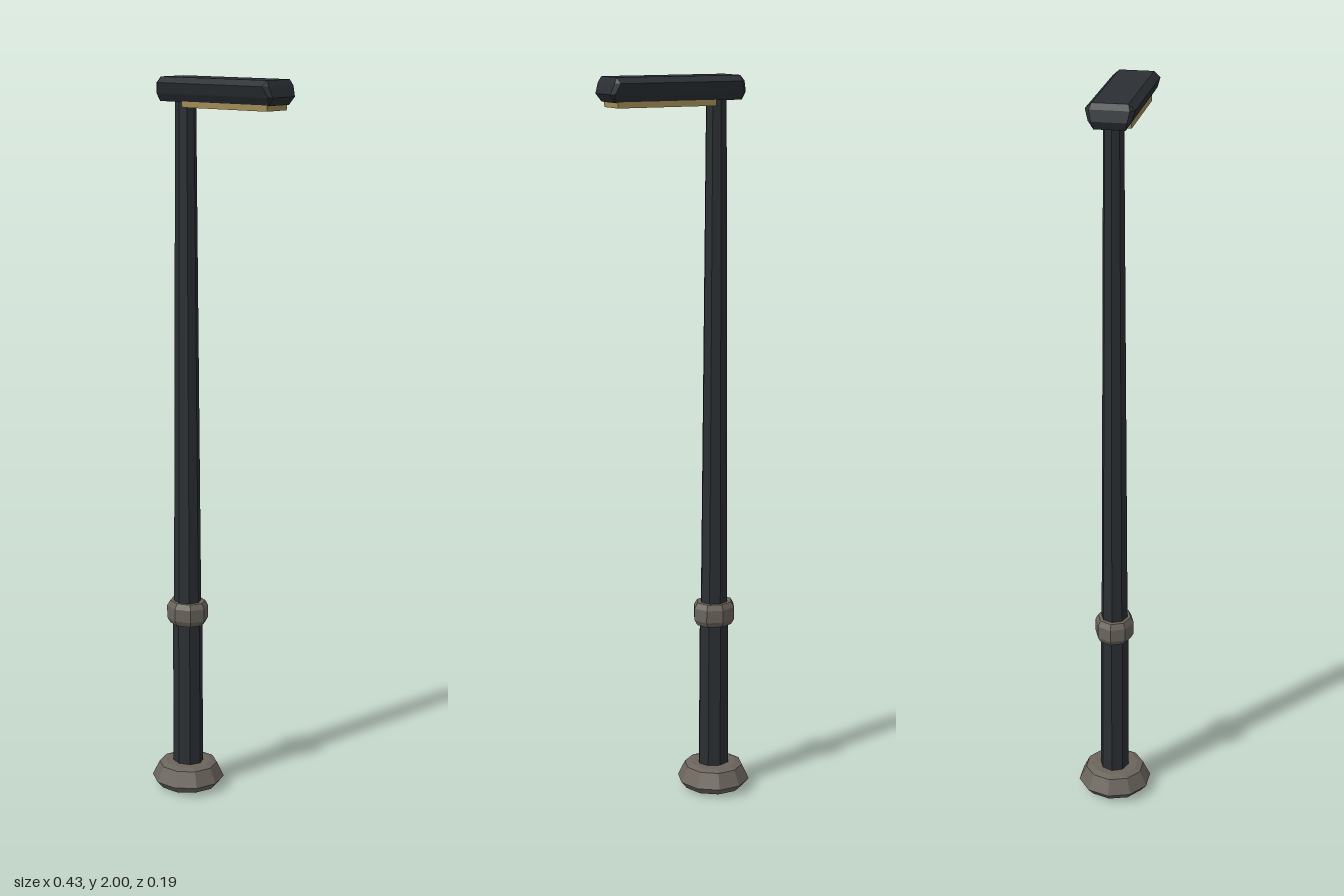
import * as THREE from 'three';
import { ConvexGeometry } from 'three/addons/geometries/ConvexGeometry.js';

const POLE_X = -0.114;

const flat = (color, side = THREE.FrontSide) =>
  new THREE.MeshStandardMaterial({ color, flatShading: true, side });

function add(group, name, geometry, material) {
  const mesh = new THREE.Mesh(geometry, material);
  mesh.name = name;
  group.add(mesh);
  return mesh;
}

// Faceted turned part on the pole axis, with a corner on the x axis
function turned(group, name, profile, sides, material, depth = 1) {
  const points = profile.map(([r, y]) => new THREE.Vector2(r, y));
  const geometry = new THREE.LatheGeometry(points, sides, Math.PI / 2);
  geometry.scale(1, 1, depth);
  const mesh = add(group, name, geometry, material);
  mesh.position.x = POLE_X;
  return mesh;
}

export function createModel() {
  const group = new THREE.Group();
  group.name = 'streetLamp';
  const metal = flat(0x2b2f33);
  const stone = flat(0x6a645c);
  const glow = flat(0xa08a55);

  // Foot with a shallow pointed underside
  turned(group, 'base', [
    [0, 0], [0.085, 0.008], [0.102, 0.028], [0.082, 0.07], [0.065, 0.076], [0, 0.076],
  ], 10, stone);

  // Thicker lower shaft and tapering upper shaft
  turned(group, 'lowerPole', [[0, 0.05], [0.045, 0.05], [0.043, 0.51], [0, 0.51]], 8, metal, 0.9);
  turned(group, 'upperPole', [[0, 0.5], [0.04, 0.5], [0.029, 1.95], [0, 1.95]], 8, metal, 0.92);

  // Bevelled collar at the joint
  turned(group, 'collar', [
    [0, 0.49], [0.052, 0.49], [0.061, 0.505], [0.061, 0.54], [0.052, 0.555], [0, 0.555],
  ], 8, stone, 0.88);

  // Lamp head: stacked rectangles [y, xMin, xMax, zHalf, corner cut]
  const corners = [];
  for (const [y, x0, x1, z, cut] of [
    [2.0, -0.16, 0.197, 0.046, 0],
    [1.985, -0.17, 0.205, 0.063, 0.012],
    [1.957, -0.177, 0.215, 0.054, 0.009],
    [1.936, -0.168, 0.2, 0.04, 0],
  ]) {
    for (const s of [-1, 1]) {
      corners.push(
        new THREE.Vector3(x0, y, s * (z - cut)), new THREE.Vector3(x0 + cut, y, s * z),
        new THREE.Vector3(x1 - cut, y, s * z), new THREE.Vector3(x1, y, s * (z - cut)),
      );
    }
  }
  add(group, 'lampHead', new ConvexGeometry(corners), metal);

  // Light panel: a rim around a slightly recessed lens
  const rect = (Type, hx, hz) => {
    const points = [[-hx, -hz], [hx, -hz], [hx, hz], [-hx, hz]];
    return new Type(points.map(([x, y]) => new THREE.Vector2(x, y)));
  };
  const rimShape = rect(THREE.Shape, 0.142, 0.041);
  rimShape.holes.push(rect(THREE.Path, 0.13, 0.03));
  const rimGeometry = new THREE.ExtrudeGeometry(rimShape, { depth: 0.018, bevelEnabled: false });
  rimGeometry.rotateX(-Math.PI / 2);
  add(group, 'lightRim', rimGeometry, glow).position.set(0.05, 1.922, 0);
  add(group, 'lightLens', new THREE.BoxGeometry(0.262, 0.014, 0.062), flat(0x8a7648))
    .position.set(0.05, 1.933, 0);

  return group;
}
